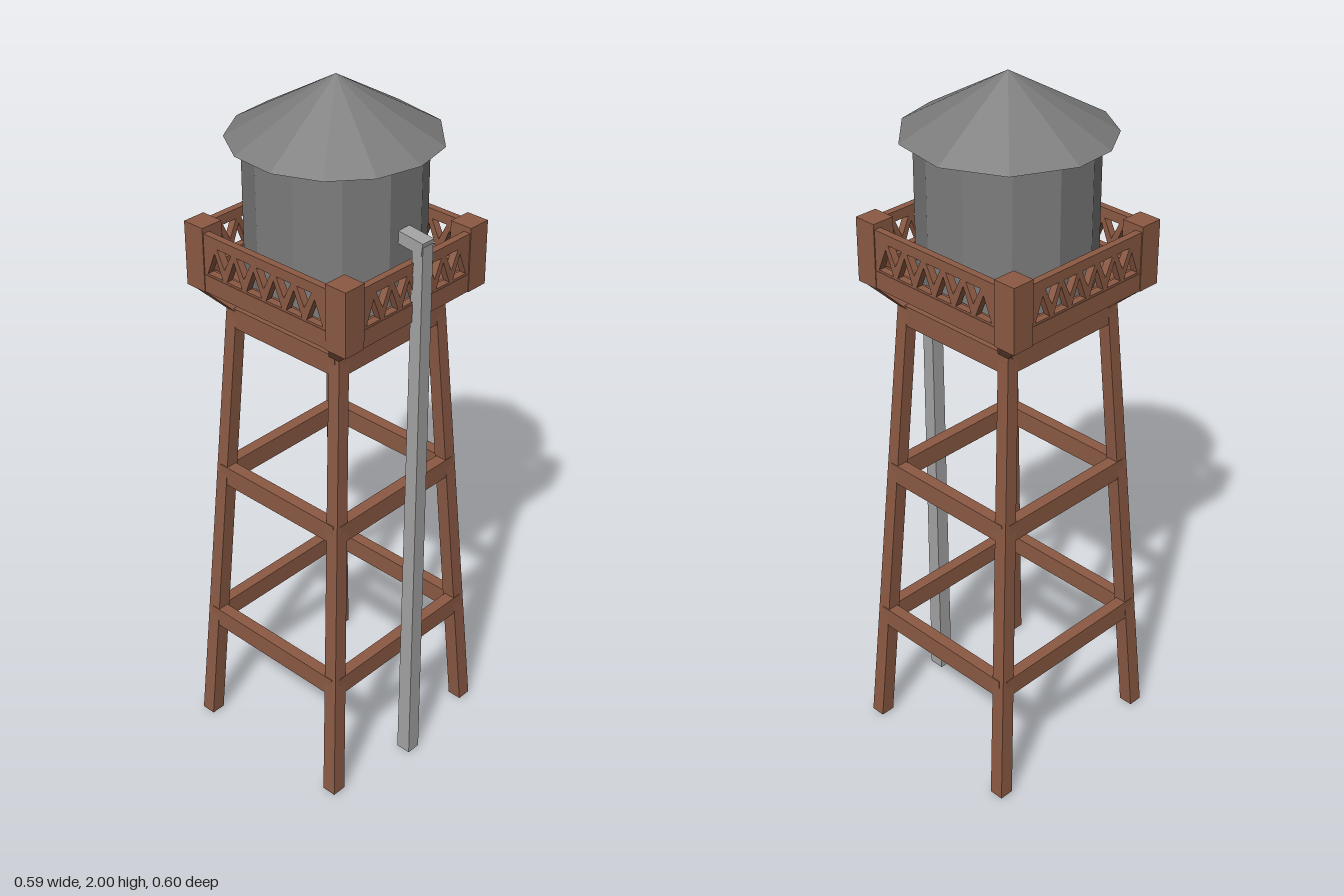
import * as THREE from 'three';

export function createModel() {
  const model = new THREE.Group();
  model.name = 'waterTower';
  const wood = new THREE.MeshStandardMaterial({ color: 0x8c5a44, flatShading: true });
  wood.name = 'brown wood';
  const metal = new THREE.MeshStandardMaterial({ color: 0x7c7c7c, flatShading: true });
  metal.name = 'grey metal';
  const pipeMetal = new THREE.MeshStandardMaterial({ color: 0xa4a4a4, flatShading: true });
  pipeMetal.name = 'light pipe metal';

  const tower = new THREE.Group();
  tower.name = 'tower';
  tower.position.x = -0.016;
  model.add(tower);

  const add = (parent, name, geometry, material) => {
    const mesh = new THREE.Mesh(geometry, material);
    mesh.name = name;
    parent.add(mesh);
    return mesh;
  };
  const box = (name, w, h, d, x, y, z, parent = tower, material = wood) => {
    const mesh = add(parent, name, new THREE.BoxGeometry(w, h, d), material);
    mesh.position.set(x, y, z);
    return mesh;
  };
  // Beam between two level rectangles, each [centre x, y, centre z, width, depth]
  const taperedBeam = (name, low, high, parent = tower, material = wood) => {
    const g = new THREE.BoxGeometry(1, 1, 1);
    const p = g.attributes.position;
    for (let i = 0; i < p.count; i++) {
      const [x, y, z, w, d] = p.getY(i) < 0 ? low : high;
      p.setXYZ(i, x + p.getX(i) * w, y, z + p.getZ(i) * d);
    }
    g.computeVertexNormals();
    return add(parent, name, g, material);
  };

  // Splayed legs, platform braces and corner posts
  const halfX = 0.278, halfZ = 0.263;
  const legX = (y) => 0.27 - 0.07 * (y / 1.37); // outer faces
  const legZ = (y) => 0.298 - 0.096 * (y / 1.37);
  for (const sx of [-1, 1]) for (const sz of [-1, 1]) {
    taperedBeam('leg',
      [sx * (legX(0) - 0.021), 0.005, sz * (legZ(0) - 0.021), 0.042, 0.042],
      [sx * (legX(1.37) - 0.018), 1.37, sz * (legZ(1.37) - 0.018), 0.036, 0.036]);
    taperedBeam('platformBrace',
      [sx * 0.182, 1.365, sz * 0.184, 0.036, 0.036],
      [sx * (halfX - 0.03), 1.432, sz * (halfZ - 0.03), 0.055, 0.055]);
    box('cornerPost', 0.066, 0.18, 0.066, sx * (halfX - 0.033), 1.52, sz * (halfZ - 0.033));
  }

  // Three rings of cross beams
  for (const y of [0.368, 0.857, 1.345]) {
    const x = legX(y), z = legZ(y), t = 0.034;
    for (const s of [-1, 1]) {
      box('crossBeam', 2 * x - 0.03, 0.058, t, 0, y, s * (z - t / 2));
      box('sideCrossBeam', t, 0.058, 2 * z - 0.03, s * (x - t / 2), y, 0);
    }
  }

  // Platform floor
  box('platformFloor', 2 * halfX - 0.02, 0.02, 2 * halfZ - 0.02, 0, 1.442, 0);

  // Railing panel pierced by a zigzag of triangles
  const railing = (length) => {
    const shape = new THREE.Shape();
    const h = length / 2, n = 6, step = (length - 0.02) / n;
    shape.moveTo(-h, 1.43).lineTo(h, 1.43).lineTo(h, 1.595).lineTo(-h, 1.595).closePath();
    const hole = (cx, halfWidth, base, tip) => {
      const path = new THREE.Path();
      path.moveTo(cx - halfWidth, base).lineTo(cx, tip).lineTo(cx + halfWidth, base).closePath();
      shape.holes.push(path);
    };
    for (let i = 0; i < n; i++) {
      const cx = -h + 0.01 + step * (i + 0.5);
      hole(cx, step * 0.39, 1.487, 1.552);
      if (i < n - 1) hole(cx + step / 2, step * 0.36, 1.567, 1.517);
    }
    const g = new THREE.ExtrudeGeometry(shape, { depth: 0.02, bevelEnabled: false });
    g.translate(0, 0, -0.02);
    return g;
  };
  for (let i = 0; i < 4; i++) {
    const side = i % 2 === 1;
    const across = side ? halfZ : halfX, out = side ? halfX : halfZ;
    const holder = new THREE.Group();
    holder.name = 'railingSide';
    holder.rotation.y = i * Math.PI / 2;
    tower.add(holder);
    add(holder, 'railing', railing(2 * across - 0.12), wood).position.z = out - 0.003;
    box('lowerBand', 2 * across - 0.12, 0.05, 0.034, 0, 1.456, out - 0.019, holder);
  }

  // Twelve-sided tank
  const tank = add(tower, 'tank', new THREE.CylinderGeometry(0.234, 0.234, 0.395, 12), metal);
  tank.position.y = 1.6475;
  tank.rotation.y = THREE.MathUtils.degToRad(-13);

  // Conical roof with slightly uneven facets
  const angles = [0, 26.6, 53, 80.6, 108, 135, 162, 188, 225, 262, 298, 333];
  const roofGeometry = new THREE.ConeGeometry(0.276, 0.157, 12, 1);
  const rp = roofGeometry.attributes.position;
  for (let i = 0; i < rp.count; i++) {
    const r = Math.hypot(rp.getX(i), rp.getZ(i));
    if (r < 0.01) continue;
    const k = (Math.round(Math.atan2(rp.getZ(i), rp.getX(i)) / (Math.PI / 6)) + 12) % 12;
    const a = THREE.MathUtils.degToRad(angles[k]);
    rp.setX(i, r * Math.cos(a));
    rp.setZ(i, r * Math.sin(a));
  }
  roofGeometry.computeVertexNormals();
  add(tower, 'roof', roofGeometry, metal).position.y = 1.9215;

  // Downpipe and its elbow into the tank
  taperedBeam('downpipe', [0.27, 0, 0, 0.044, 0.042], [0.271, 1.645, 0, 0.034, 0.038], model, pipeMetal);
  const elbow = box('pipeElbow', 0.09, 0.034, 0.042, 0.242, 1.645, 0, model, pipeMetal);
  elbow.rotation.z = -0.12;
  return model;
}
